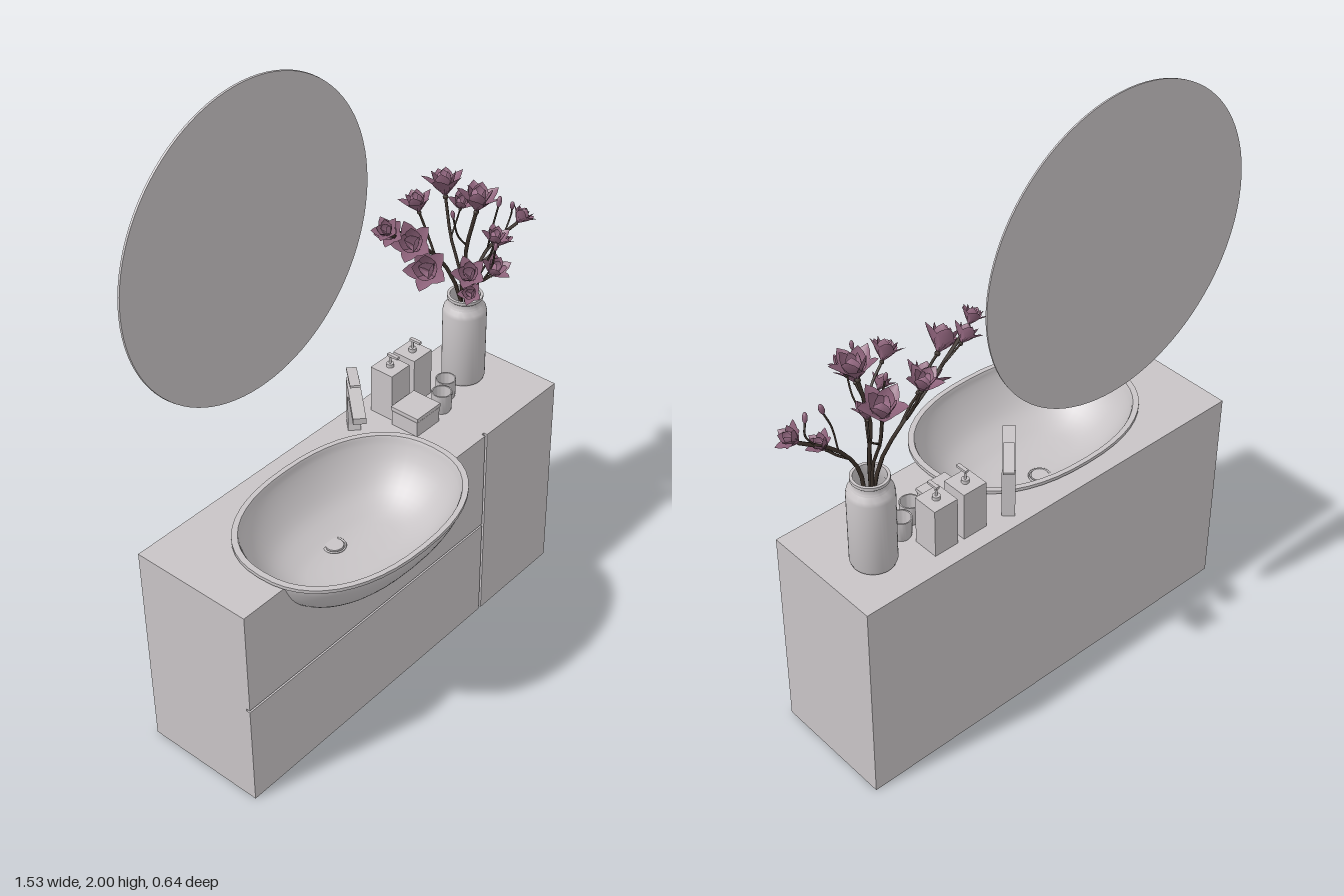
import * as THREE from 'three';
import { mergeGeometries, toCreasedNormals } from 'three/addons/utils/BufferGeometryUtils.js';

const mat = (name, color, side = THREE.FrontSide) => {
  const m = new THREE.MeshStandardMaterial({ color, side });
  m.name = name;
  return m;
};
const V = (x, y, z) => new THREE.Vector3(x, y, z);

// Basin plan: a superellipse around (CX, CZ)
const CX = -0.225, CZ = 0.033, N = 2.3;
const pow = (c) => Math.sign(c) * Math.abs(c) ** (2 / N);
const plan = (hx, hz, a) => [CX + hx * pow(Math.cos(a)), CZ + hz * pow(Math.sin(a))];
const halfWidth = (hx, hz, dz) => hx * (1 - (dz / hz) ** N) ** (1 / N);
// Basin profile: x half-width, height, z half-width
const wall = new THREE.CatmullRomCurve3([
  V(0.14, 0.53, 0.07), V(0.22, 0.542, 0.115), V(0.29, 0.58, 0.187),
  V(0.345, 0.64, 0.237), V(0.375, 0.7, 0.268), V(0.382, 0.722, 0.272)]).getPoints(18);

export function createModel() {
  const root = new THREE.Group();
  root.name = 'washstand';
  const grey = mat('light grey', 0xc8c4c6);
  const greyOpen = mat('light grey ceramic', 0xc8c4c6, THREE.DoubleSide);
  const petalMat = mat('mauve petal', 0x8d627a, THREE.DoubleSide);
  const innerMat = mat('pale mauve petal', 0xa47590, THREE.DoubleSide);
  const bark = mat('dark bark', 0x3a3029);

  const add = (name, geo, material, parent = root, x = 0, y = 0, z = 0) => {
    const m = new THREE.Mesh(geo, material);
    m.name = name;
    m.position.set(x, y, z);
    parent.add(m);
    return m;
  };
  // Box given by its limits
  const box = (name, x0, x1, y0, y1, z0, z1, parent = root) =>
    add(name, new THREE.BoxGeometry(x1 - x0, y1 - y0, z1 - z0), grey, parent,
      (x0 + x1) / 2, (y0 + y1) / 2, (z0 + z1) / 2);
  const extrude = (pts, depth) => new THREE.ExtrudeGeometry(
    new THREE.Shape(pts.map(([x, y]) => new THREE.Vector2(x, y))), { depth, bevelEnabled: false });

  // ---- Cabinet: hollow carcass with cut-outs for the basin
  const cabinet = new THREE.Group();
  cabinet.name = 'cabinet';
  root.add(cabinet);
  const L = -0.76, R = 0.675, TOP = 0.72, BACK = -0.305, FRONT = 0.097;
  box('cabinetBack', L, R, 0, TOP - 0.015, BACK, BACK + 0.015, cabinet);
  box('cabinetBottom', L, R, 0, 0.015, BACK + 0.015, FRONT, cabinet);
  box('cabinetLeftSide', R - 0.015, R, 0.015, TOP - 0.015, BACK + 0.015, FRONT, cabinet);
  box('cabinetRightSide', L, L + 0.015, 0.015, TOP - 0.015, BACK + 0.015, FRONT, cabinet);

  // Worktop, notched to the front for the bowl
  const hx = 0.372, hz = 0.263, cross = halfWidth(hx, hz, FRONT - CZ);
  const notch = [[CX - cross, -FRONT]];
  for (let i = 0; i <= 40; i++) {
    const [x, z] = plan(hx, hz, Math.PI + Math.PI * i / 40);
    notch.push([x, -z]);
  }
  notch.push([CX + cross, -FRONT]);
  const top = extrude([[L, -BACK], [L, -FRONT], ...notch, [R, -FRONT], [R, -BACK]], 0.015);
  add('worktop', top.rotateX(-Math.PI / 2), grey, cabinet, 0, TOP - 0.015, 0);

  // Upright panel, notched along the section of the bowl
  const notchedPanel = (name, x0, x1, y0, y1, z0, z1) => {
    const dz = (z0 + z1) / 2 - CZ;
    const side = wall.filter((p) => p.z * 0.985 > dz && p.y < y1)
      .map((p) => [halfWidth(p.x * 0.985, p.z * 0.985, dz), p.y]);
    side.push([halfWidth(0.376, 0.268, dz), y1]);
    const cut = [...side].reverse().map(([w, y]) => [CX - w, y])
      .concat(side.map(([w, y]) => [CX + w, y]));
    add(name, extrude([[x0, y0], [x0, y1], ...cut, [x1, y1], [x1, y0]], z1 - z0),
      grey, cabinet, 0, 0, z0);
  };
  notchedPanel('carcassFront', L + 0.015, R - 0.015, 0.015, TOP - 0.015, 0.086, 0.096);
  notchedPanel('upperDrawer', L, 0.311, 0.366, TOP, FRONT, 0.11);
  box('lowerDrawer', L, 0.311, 0, 0.358, FRONT, 0.11, cabinet);
  box('sideDoor', 0.321, R, 0, TOP, FRONT, 0.11, cabinet);

  // ---- Basin: rings up the outside, over the lip and down the inside
  const inner = wall.slice(0, -1).reverse().map((p) => V(p.x - 0.012, p.y + 0.012, p.z - 0.012));
  const rings = [V(0, 0.53, 0), ...wall, V(0.391, 0.724, 0.278), V(0.391, 0.735, 0.278),
    V(0.372, 0.735, 0.262), ...inner, V(0, 0.541, 0)];
  const SEG = 48, pos = [], idx = [];
  rings.forEach((r, j) => {
    for (let i = 0; i <= SEG; i++) {
      const [x, z] = plan(r.x, r.z, i / SEG * Math.PI * 2);
      pos.push(x, r.y, z);
      if (i === SEG || j === rings.length - 1) continue;
      const a = j * (SEG + 1) + i, b = a + SEG + 1;
      if (j > 0) idx.push(a, b, a + 1);
      if (j < rings.length - 2) idx.push(b, b + 1, a + 1);
      else idx.push(b, a + 1, a + 1);
    }
  });
  const bowl = new THREE.BufferGeometry();
  bowl.setAttribute('position', new THREE.Float32BufferAttribute(pos, 3));
  bowl.setIndex(idx.filter((_, k) => {
    const t = k - k % 3;
    return idx[t + 1] !== idx[t + 2];
  }));
  add('basin', toCreasedNormals(bowl, 0.7), greyOpen);
  add('drainPlug', new THREE.CylinderGeometry(0.028, 0.028, 0.012, 28), grey, root, CX, 0.545, -0.04);
  add('drainRing', new THREE.TorusGeometry(0.034, 0.003, 8, 32).rotateX(Math.PI / 2), grey, root, CX, 0.547, -0.04);

  // ---- Tap, turned towards the bowl
  const tap = new THREE.Group();
  tap.name = 'tap';
  tap.position.set(0.09, TOP, -0.235);
  tap.rotation.y = -2.32;
  root.add(tap);
  const body = extrude([[-0.03, 0], [0.024, 0], [0.02, 0.02], [0.018, 0.11], [0.024, 0.13], [0.04, 0.14],
    [0.185, 0.143], [0.185, 0.164], [-0.024, 0.168]], 0.04);
  add('tapBody', body, grey, tap, 0, 0, -0.02);
  add('tapStem', new THREE.CylinderGeometry(0.015, 0.015, 0.02, 20), grey, tap, 0, 0.175, 0);
  add('tapLever', new THREE.BoxGeometry(0.12, 0.008, 0.032), grey, tap, 0.005, 0.187, 0).rotation.z = 0.13;

  // ---- Soap dispensers, box and tumblers
  [0.23, 0.338].forEach((x) => {
    const g = new THREE.Group();
    g.name = 'soapDispenser';
    g.position.set(x, TOP, -0.205);
    root.add(g);
    add('dispenserBody', new THREE.BoxGeometry(0.085, 0.165, 0.085), grey, g, 0, 0.0825, 0);
    add('pumpCollar', new THREE.CylinderGeometry(0.012, 0.012, 0.012, 16), grey, g, 0, 0.171, 0);
    add('pumpStem', new THREE.CylinderGeometry(0.004, 0.004, 0.03, 10), grey, g, 0, 0.19, 0);
    add('pumpNozzle', new THREE.BoxGeometry(0.012, 0.008, 0.04), grey, g, 0, 0.207, 0.012);
  });
  box('smallBox', 0.172, 0.28, TOP, 0.772, -0.15, -0.048);
  box('smallBoxLid', 0.17, 0.282, 0.775, 0.788, -0.152, -0.046);
  const lathe = (pts, n) => toCreasedNormals(
    new THREE.LatheGeometry(pts.map(([r, y]) => new THREE.Vector2(r, y)), n), 0.6);
  const cup = lathe([[0, 0], [0.027, 0], [0.031, 0.008], [0.033, 0.07], [0.029, 0.07], [0.027, 0.012], [0, 0.01]], 28);
  [[0.332, -0.08], [0.395, -0.115]].forEach(([x, z]) => add('tumbler', cup, greyOpen, root, x, TOP, z));

  // ---- Vase
  add('vase', lathe([[0, 0], [0.058, 0], [0.066, 0.005], [0.07, 0.016], [0.07, 0.255], [0.067, 0.268], [0.056, 0.28],
    [0.053, 0.286], [0.053, 0.3], [0.057, 0.304], [0.057, 0.314], [0.048, 0.314], [0.048, 0.28],
    [0.062, 0.25], [0.062, 0.02], [0, 0.015]], 40), greyOpen, root, 0.52, TOP, -0.143);

  // ---- Mirror
  add('mirror', new THREE.CylinderGeometry(0.489, 0.49, 0.006, 96).rotateX(Math.PI / 2), grey, root, -0.248, 1.51, -0.304);

  // ---- Blossom: whorls of cupped petals, unit height
  const whorl = (count, open, turn, size) => mergeGeometries(Array.from({ length: count }, (_, k) => {
    const g = new THREE.PlaneGeometry(2, 1, 4, 6), p = g.attributes.position;
    for (let i = 0; i < p.count; i++) {
      const u = p.getX(i), t = p.getY(i) + 0.5;
      const w = 0.3 * Math.sin(Math.PI * t ** 1.2) ** 0.8 || 0;
      const r = 0.3 * Math.sin(t * 1.9) + open * t * t - 0.3 * u * u * w;
      p.setXYZ(i, u * w * size, t * (1 - open * 0.4 * t) * size, r * size);
    }
    g.rotateY(turn + k / count * Math.PI * 2);
    g.computeVertexNormals();
    return g;
  }));
  const outer = mergeGeometries([whorl(5, 0.5, 0, 1), whorl(4, 0.15, 0.5, 1)]);
  const core = whorl(3, -0.1, 0.2, 0.9);
  const calyx = new THREE.SphereGeometry(0.1, 8, 6);
  const budGeo = new THREE.SphereGeometry(0.3, 10, 8).scale(0.75, 1.6, 0.75).translate(0, 0.42, 0);

  const flowers = new THREE.Group();
  flowers.name = 'blossomBranches';
  root.add(flowers);
  // A branch through its points, ending in a blossom, or a bud when small
  const branch = (radius, size, ...pts) => {
    const curve = new THREE.CatmullRomCurve3(pts.map((p) => V(...p)));
    add('branch', new THREE.TubeGeometry(curve, 12, radius, 6), bark, flowers);
    const g = new THREE.Group();
    g.name = size < 0.04 ? 'bud' : 'blossom';
    g.position.copy(curve.getPoint(1));
    const dir = curve.getTangent(1).add(V(0, 0.6, 0)).normalize();
    g.quaternion.setFromUnitVectors(V(0, 1, 0), dir);
    g.scale.setScalar(size);
    flowers.add(g);
    add('calyx', calyx, bark, g);
    if (size < 0.04) return add('budPetals', budGeo, petalMat, g);
    add('outerPetals', outer, petalMat, g);
    add('innerPetals', core, innerMat, g);
  };
  const foot = (dx, dz) => [0.52 + dx, 0.78, -0.143 + dz];
  // Long branch to the right of the vase
  branch(0.006, 0.055, foot(0.02, 0), [0.49, 1.06, -0.15], [0.44, 1.18, -0.18], [0.35, 1.27, -0.19], [0.27, 1.33, -0.18], [0.185, 1.39, -0.17]);
  branch(0.004, 0.085, [0.35, 1.27, -0.19], [0.32, 1.3, -0.16], [0.27, 1.32, -0.14]);
  branch(0.004, 0.09, [0.44, 1.18, -0.18], [0.38, 1.2, -0.15], [0.33, 1.21, -0.13]);
  branch(0.003, 0.06, [0.3, 1.31, -0.185], [0.27, 1.35, -0.2], [0.23, 1.36, -0.19]);
  branch(0.004, 0.07, [0.42, 1.2, -0.185], [0.43, 1.27, -0.23], [0.42, 1.33, -0.25]);
  // Upright branches
  branch(0.006, 0.09, foot(-0.01, 0), [0.51, 1.08, -0.13], [0.5, 1.2, -0.13], [0.52, 1.34, -0.11]);
  branch(0.005, 0.09, foot(0, -0.02), [0.53, 1.08, -0.17], [0.54, 1.2, -0.22], [0.56, 1.32, -0.26]);
  branch(0.003, 0.055, [0.54, 1.2, -0.22], [0.58, 1.24, -0.23], [0.57, 1.29, -0.21]);
  branch(0.003, 0.03, [0.505, 1.22, -0.13], [0.47, 1.27, -0.14], [0.46, 1.33, -0.15]);
  // Branch leaning to the front
  branch(0.005, 0.065, foot(-0.02, 0.02), [0.49, 1.06, -0.11], [0.46, 1.14, -0.06], [0.43, 1.18, -0.01], [0.43, 1.21, 0.02]);
  branch(0.004, 0.07, [0.46, 1.14, -0.06], [0.4, 1.2, -0.01], [0.34, 1.24, 0.015]);
  branch(0.003, 0.06, [0.46, 1.14, -0.06], [0.48, 1.22, -0.03], [0.48, 1.28, -0.01]);
  branch(0.003, 0.05, [0.45, 1.155, -0.04], [0.4, 1.16, -0.01], [0.37, 1.165, 0]);
  branch(0.003, 0.03, [0.43, 1.18, -0.01], [0.42, 1.25, 0.03], [0.42, 1.31, 0.04]);
  // Branch to the left
  branch(0.006, 0.06, foot(0.02, 0.01), [0.55, 1.06, -0.14], [0.61, 1.16, -0.13], [0.67, 1.2, -0.11], [0.71, 1.22, -0.095]);
  branch(0.004, 0.055, [0.58, 1.12, -0.135], [0.61, 1.14, -0.12], [0.635, 1.165, -0.11]);
  branch(0.003, 0.038, [0.61, 1.16, -0.13], [0.62, 1.24, -0.12], [0.645, 1.3, -0.12]);
  branch(0.003, 0.034, [0.67, 1.2, -0.11], [0.7, 1.25, -0.11], [0.69, 1.28, -0.1]);
  return root;
}
